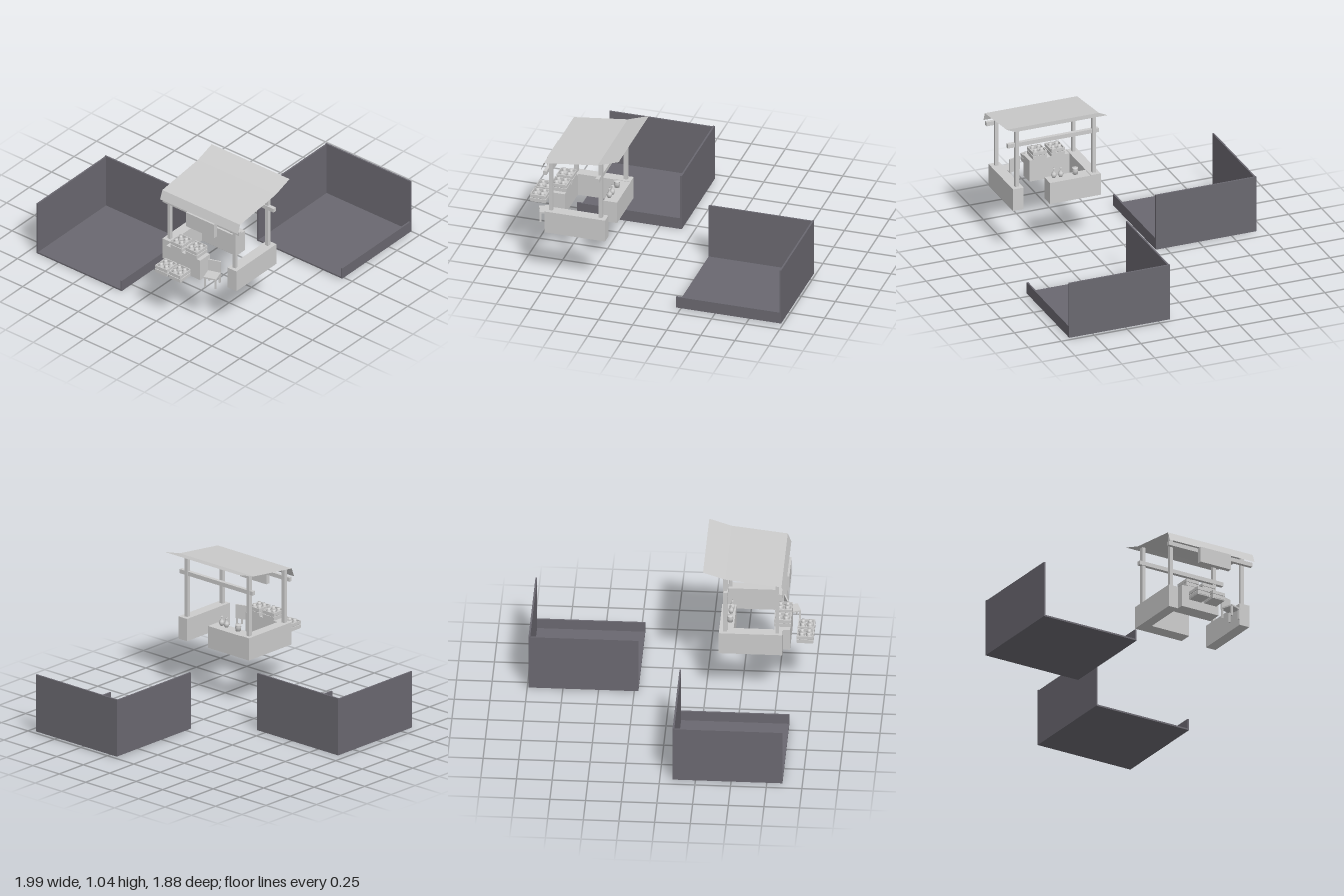
import * as THREE from 'three';

const pale = new THREE.MeshStandardMaterial({ color: 0xcccccc, side: THREE.DoubleSide });
pale.name = 'pale grey';
const slate = new THREE.MeshStandardMaterial({ color: 0x6a6870 });
slate.name = 'slate grey';

// Box given by its min and max along each axis
function box(parent, name, mat, x0, x1, y0, y1, z0, z1) {
  const m = new THREE.Mesh(new THREE.BoxGeometry(x1 - x0, y1 - y0, z1 - z0), mat);
  m.position.set((x0 + x1) / 2, (y0 + y1) / 2, (z0 + z1) / 2);
  m.name = name;
  parent.add(m);
  return m;
}

function group(parent, name, x = 0, y = 0, z = 0) {
  const g = new THREE.Group();
  g.name = name;
  g.position.set(x, y, z);
  parent.add(g);
  return g;
}

// Turned jar from [radius, height] pairs
function jar(parent, name, profile, x, y, z) {
  const pts = profile.map(([r, h]) => new THREE.Vector2(r, h));
  const m = new THREE.Mesh(new THREE.LatheGeometry(pts, 16), pale);
  m.position.set(x, y, z);
  m.name = name;
  parent.add(m);
}

// Yard with two tall walls, a low front wall and one open side
function yard(parent, x, y, z) {
  const g = group(parent, 'walledYard', x, y, z);
  const w = 0.77, d = 0.765, t = 0.012;
  box(g, 'floor', slate, 0, w, 0, t, 0, d);
  box(g, 'backWall', slate, 0, w, 0, 0.418, 0, t);
  box(g, 'sideWall', slate, w - t, w, 0, 0.423, 0, d);
  box(g, 'lowFrontWall', slate, 0, w, 0, 0.085, d - t, d);
}

// Slatted crate holding four jars, origin at the middle of its base
function crate(parent, x, y, z) {
  const g = group(parent, 'crate', x, y, z);
  const h = 0.056, k = 0.05;
  box(g, 'crateBase', pale, -h, h, 0, 0.006, -k, k);
  for (const s of [-1, 1]) {
    for (const y0 of [0.006, 0.035]) {
      box(g, 'endSlat', pale, s * h - 0.003, s * h + 0.003, y0, y0 + 0.022, -k, k);
      box(g, 'sideSlat', pale, -h, h, y0, y0 + 0.022, s * k - 0.003, s * k + 0.003);
    }
    for (const q of [-1, 1]) {
      const cx = s * (h - 0.006), cz = q * (k - 0.006);
      box(g, 'cornerPost', pale, cx - 0.004, cx + 0.004, 0, 0.06, cz - 0.004, cz + 0.004);
      jar(g, 'crateJar', [[0, 0.006], [0.016, 0.006], [0.022, 0.03], [0.02, 0.048],
        [0.011, 0.058], [0.013, 0.07], [0, 0.07]], s * 0.025, 0, q * 0.024);
    }
  }
}

// Chair facing -x, origin on the ground
function chair(parent, x, y, z, turn) {
  const g = group(parent, 'chair', x, y, z);
  g.rotation.y = turn;
  box(g, 'seat', pale, -0.05, 0.05, 0.072, 0.084, -0.047, 0.047);
  box(g, 'backrest', pale, 0.04, 0.05, 0.084, 0.175, -0.047, 0.047);
  for (const sx of [-0.042, 0.042]) for (const sz of [-0.039, 0.039])
    box(g, 'chairLeg', pale, sx - 0.006, sx + 0.006, 0, 0.072, sz - 0.006, sz + 0.006);
}

// Thin sagging roof sheet, a profile swept along z
function roof(parent) {
  const p = [[-0.81, 0.875], [-0.785, 0.94], [-0.39, 0.988], [-0.235, 1.04]];
  const pos = [];
  for (let i = 0; i < p.length - 1; i++) {
    const [ax, ay] = p[i], [bx, by] = p[i + 1];
    pos.push(ax, ay, 0.83, bx, by, 0.83, bx, by, 0.13,
      ax, ay, 0.83, bx, by, 0.13, ax, ay, 0.13);
  }
  const geo = new THREE.BufferGeometry();
  geo.setAttribute('position', new THREE.Float32BufferAttribute(pos, 3));
  geo.computeVertexNormals();
  const m = new THREE.Mesh(geo, pale);
  m.name = 'roof';
  parent.add(m);
}

export function createModel() {
  const model = new THREE.Group();
  model.name = 'marketStall';
  yard(model, 0.22, 0.01, 0.17);
  yard(model, -0.86, 0, -0.94);

  const stall = group(model, 'stall');
  // Counters around the stall
  box(stall, 'frontCounter', pale, -0.79, -0.345, 0.372, 0.538, 0.72, 0.8);
  box(stall, 'backCounter', pale, -0.79, -0.345, 0.372, 0.538, 0.135, 0.21);
  box(stall, 'bottleCounter', pale, -0.445, -0.345, 0.372, 0.535, 0.21, 0.52);
  box(stall, 'crateCounter', pale, -0.84, -0.73, 0.372, 0.535, 0.21, 0.515);

  // Posts and long beams
  for (const z of [0.172, 0.757]) {
    box(stall, 'outerPost', pale, -0.765, -0.74, 0.538, 0.932, z - 0.013, z + 0.013);
    box(stall, 'innerPost', pale, -0.402, -0.375, 0.538, 0.985, z - 0.013, z + 0.013);
  }
  box(stall, 'outerBeam', pale, -0.79, -0.765, 0.845, 0.875, 0.135, 0.825);
  box(stall, 'innerBeam', pale, -0.408, -0.38, 0.845, 0.875, 0.135, 0.825);
  box(stall, 'hangingBoard', pale, -0.825, -0.79, 0.76, 0.875, 0.375, 0.625);
  roof(stall);

  // Goods
  crate(stall, -0.943, 0.41, 0.292);
  crate(stall, -0.943, 0.41, 0.415);
  crate(stall, -0.784, 0.535, 0.3);
  crate(stall, -0.784, 0.535, 0.435);
  const bottle = [[0, 0], [0.012, 0], [0.02, 0.018], [0.017, 0.033], [0.006, 0.045],
    [0.006, 0.062], [0.01, 0.07], [0, 0.07]];
  jar(stall, 'bottle', bottle, -0.415, 0.535, 0.41);
  jar(stall, 'bottle', bottle, -0.42, 0.535, 0.46);
  jar(stall, 'pot', [[0, 0], [0.018, 0], [0.022, 0.03], [0.016, 0.038], [0.022, 0.048],
    [0, 0.048]], -0.415, 0.535, 0.3);
  chair(stall, -0.832, 0.375, 0.618, 0.32);
  return model;
}
